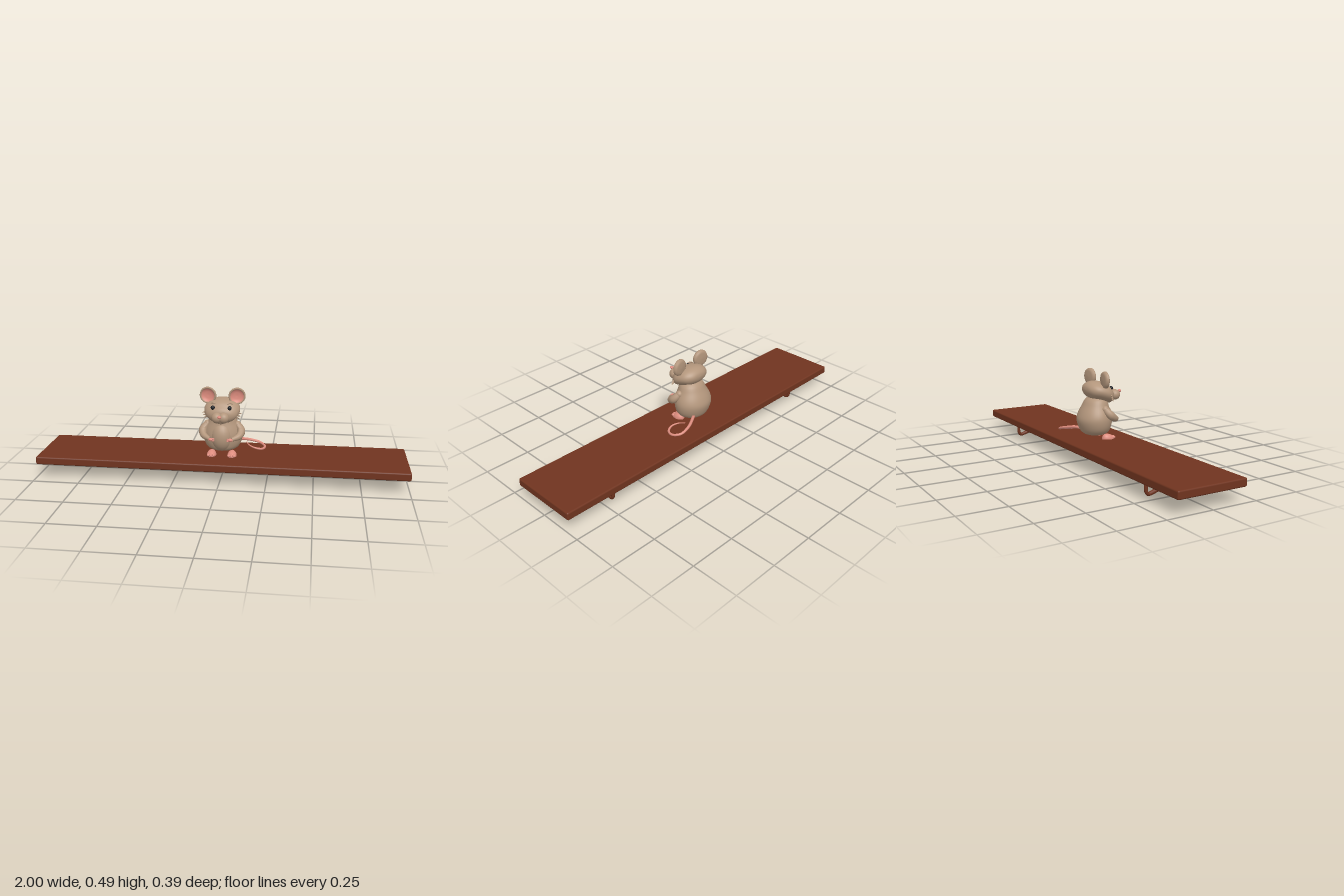
import * as THREE from 'three';
import { mergeVertices } from 'three/addons/utils/BufferGeometryUtils.js';
import { RoundedBoxGeometry } from 'three/addons/geometries/RoundedBoxGeometry.js';

const material = (name, color) => {
  const m = new THREE.MeshStandardMaterial({ color });
  m.name = name;
  return m;
};

const V = (x, y, z) => new THREE.Vector3(x, y, z);

// Smooth elliptical body along y; each station is [y, z offset, x radius, z radius]
function loft(stations) {
  const spine = new THREE.SplineCurve(stations.map(s => new THREE.Vector2(s[0], s[1])));
  const radii = new THREE.SplineCurve(stations.map(s => new THREE.Vector2(s[2], s[3])));
  const g = new THREE.CylinderGeometry(1, 1, 1, 36, 32, true);
  const p = g.attributes.position;
  for (let i = 0; i < p.count; i++) {
    const u = p.getY(i) + 0.5;
    const c = spine.getPoint(u), r = radii.getPoint(u);
    p.setXYZ(i, p.getX(i) * r.x, c.x, c.y + p.getZ(i) * r.y);
  }
  g.deleteAttribute('uv');
  g.deleteAttribute('normal');
  const merged = mergeVertices(g, 1e-5);
  merged.computeVertexNormals();
  return merged;
}

// Tube whose radius follows a list of values along its length
function taperedTube(points, radii, segments = 32, sides = 14) {
  const curve = new THREE.CatmullRomCurve3(points);
  const g = new THREE.TubeGeometry(curve, segments, 1, sides);
  const p = g.attributes.position, v = V(0, 0, 0);
  for (let i = 0; i < p.count; i++) {
    const u = Math.floor(i / (sides + 1)) / segments;
    const k = Math.min(Math.floor(u * (radii.length - 1)), radii.length - 2);
    const r = THREE.MathUtils.lerp(radii[k], radii[k + 1], u * (radii.length - 1) - k);
    const c = curve.getPointAt(u);
    v.fromBufferAttribute(p, i).sub(c).multiplyScalar(r).add(c);
    p.setXYZ(i, v.x, v.y, v.z);
  }
  g.computeVertexNormals();
  return g;
}

export function createModel() {
  const root = new THREE.Group();
  const wood = material('wood', 0x70341f);
  const fur = material('fur', 0xb3967c);
  const pink = material('pink skin', 0xdd8c7e);
  const black = material('eye black', 0x1d2024);

  const add = (name, geometry, mat, parent = root) => {
    const mesh = new THREE.Mesh(geometry, mat);
    mesh.name = name;
    parent.add(mesh);
    return mesh;
  };
  const blob = (name, mat, pos, r, parent = root) => {
    const m = add(name, new THREE.SphereGeometry(1, 24, 16), mat, parent);
    m.position.set(...pos);
    m.scale.set(...r);
    return m;
  };

  // Shelf board and its two bent hooks
  add('shelf', new RoundedBoxGeometry(2, 0.043, 0.387, 3, 0.008), wood).position.y = 0.0985;
  for (const x of [-0.695, 0.695]) {
    const path = [[0.078, 0.1], [0.07, 0.04], [0.05, -0.02], [0.016, -0.115],
      [0.012, -0.135], [0.024, -0.146], [0.072, -0.149]].map(([y, z]) => V(x, y, z));
    add('bracket', taperedTube(path, [0.004, 0.01, 0.011, 0.011, 0.011, 0.009, 0.009], 40), wood);
    blob('bracketEnd', wood, [x, 0.071, -0.149], [0.009, 0.004, 0.009]);
  }

  const mouse = new THREE.Group();
  mouse.name = 'mouse';
  root.add(mouse);

  // Pear-shaped body with a raised belly
  add('body', loft([
    [0.14, -0.015, 0, 0], [0.143, -0.014, 0.045, 0.042], [0.157, -0.012, 0.08, 0.07],
    [0.185, -0.014, 0.1, 0.084], [0.225, -0.016, 0.108, 0.092], [0.26, -0.014, 0.102, 0.086],
    [0.3, -0.009, 0.082, 0.071], [0.34, -0.003, 0.06, 0.052], [0.37, 0, 0, 0],
  ]), fur, mouse);
  blob('belly', fur, [0, 0.228, 0.03], [0.062, 0.083, 0.061], mouse);

  // Head, tapering forward and down to the muzzle
  add('head', loft([
    [-0.071, -0.392, 0, 0], [-0.066, -0.391, 0.042, 0.021], [-0.048, -0.388, 0.072, 0.04],
    [-0.02, -0.385, 0.09, 0.05], [0.02, -0.375, 0.097, 0.056], [0.045, -0.366, 0.09, 0.054],
    [0.063, -0.357, 0.076, 0.046], [0.08, -0.355, 0.048, 0.029], [0.088, -0.355, 0, 0],
  ]).rotateX(Math.PI / 2), fur, mouse);

  blob('nose', pink, [0, 0.368, 0.146], [0.011, 0.008, 0.009], mouse);
  blob('noseBridge', pink, [0, 0.364, 0.133], [0.007, 0.005, 0.013], mouse);
  blob('chin', fur, [0, 0.33, 0.088], [0.026, 0.016, 0.02], mouse);

  // Shallow ear bowl, with the opening facing forward
  const earShell = new THREE.LatheGeometry([
    [0, -0.012], [0.03, -0.011], [0.042, -0.007], [0.046, 0.002], [0.045, 0.009],
    [0.041, 0.012], [0.037, 0.009], [0.034, 0.003],
  ].map(([r, y]) => new THREE.Vector2(r, y)), 36).rotateX(Math.PI / 2);
  const earInside = new THREE.LatheGeometry([
    [0, -0.003], [0.018, -0.002], [0.03, 0.002], [0.037, 0.0085],
  ].map(([r, y]) => new THREE.Vector2(r, y)), 36).rotateX(Math.PI / 2);
  fur.side = pink.side = THREE.DoubleSide;

  for (const s of [-1, 1]) {
    const side = s > 0 ? 'left' : 'right';
    const part = name => side + name;

    // Face
    blob(part('Muzzle'), fur, [s * 0.018, 0.353, 0.105], [0.03, 0.029, 0.029], mouse);
    blob(part('Eye'), black, [s * 0.045, 0.396, 0.064], [0.011, 0.012, 0.01], mouse);
    add(part('Brow'), taperedTube([
      V(s * 0.03, 0.416, 0.056), V(s * 0.045, 0.419, 0.048), V(s * 0.06, 0.413, 0.042),
    ], [0.002, 0.0045, 0.002], 12, 8), fur, mouse);

    // Three cheek tufts
    for (let i = 0; i < 3; i++) {
      const tuft = add(part('CheekTuft'), new THREE.ConeGeometry(0.008, 0.03, 10), fur, mouse);
      tuft.position.set(s * (0.095 - i * 0.004), 0.362 - i * 0.011, 0.037 + i * 0.006);
      tuft.rotation.z = -s * (1.75 + i * 0.2);
    }

    // Ear
    const ear = new THREE.Group();
    ear.name = part('Ear');
    ear.position.set(s * 0.078, 0.449, 0.003);
    ear.rotation.y = s * 0.12;
    mouse.add(ear);
    add('earShell', earShell, fur, ear);
    add('earInside', earInside, pink, ear);

    // Arm bent in front of the belly, ending in a small paw
    add(part('Arm'), taperedTube([
      V(s * 0.082, 0.289, 0.006), V(s * 0.103, 0.262, 0.024),
      V(s * 0.096, 0.24, 0.056), V(s * 0.06, 0.229, 0.092),
    ], [0.019, 0.023, 0.018, 0.01]), fur, mouse);
    blob(part('Shoulder'), fur, [s * 0.082, 0.289, 0.006], [0.02, 0.02, 0.02], mouse);
    blob(part('Paw'), pink, [s * 0.052, 0.228, 0.097], [0.014, 0.009, 0.01], mouse);
    for (let i = -1; i <= 1; i++)
      blob(part('Finger'), pink, [s * 0.04, 0.228 + i * 0.006, 0.101], [0.008, 0.0035, 0.004], mouse);

    // Foot, domed over a flat sole, with toes
    const foot = new THREE.SphereGeometry(1, 24, 16);
    const p = foot.attributes.position;
    for (let i = 0; i < p.count; i++) {
      const z = p.getZ(i);
      p.setXYZ(i, p.getX(i) * 0.026, Math.max(p.getY(i), 0) * (0.027 - z * 0.009), z * 0.037);
    }
    foot.computeVertexNormals();
    add(part('Foot'), foot, pink, mouse).position.set(s * 0.056, 0.1205, 0.04);
    for (let i = -1; i <= 1; i++)
      blob(part('Toe'), pink, [s * 0.056 + i * 0.014, 0.128, 0.069 - Math.abs(i) * 0.004],
        [0.009, 0.008, 0.012], mouse);
  }

  // Tail curling to the model's left
  add('tail', taperedTube([
    V(0.03, 0.168, -0.055), V(0.075, 0.175, -0.088), V(0.14, 0.163, -0.12), V(0.2, 0.147, -0.122),
    V(0.227, 0.138, -0.085), V(0.212, 0.137, -0.043), V(0.175, 0.146, -0.03),
    V(0.14, 0.156, -0.05), V(0.125, 0.163, -0.08),
  ], [0.009, 0.008, 0.007, 0.006, 0.002], 80, 10), pink, mouse);

  return root;
}
